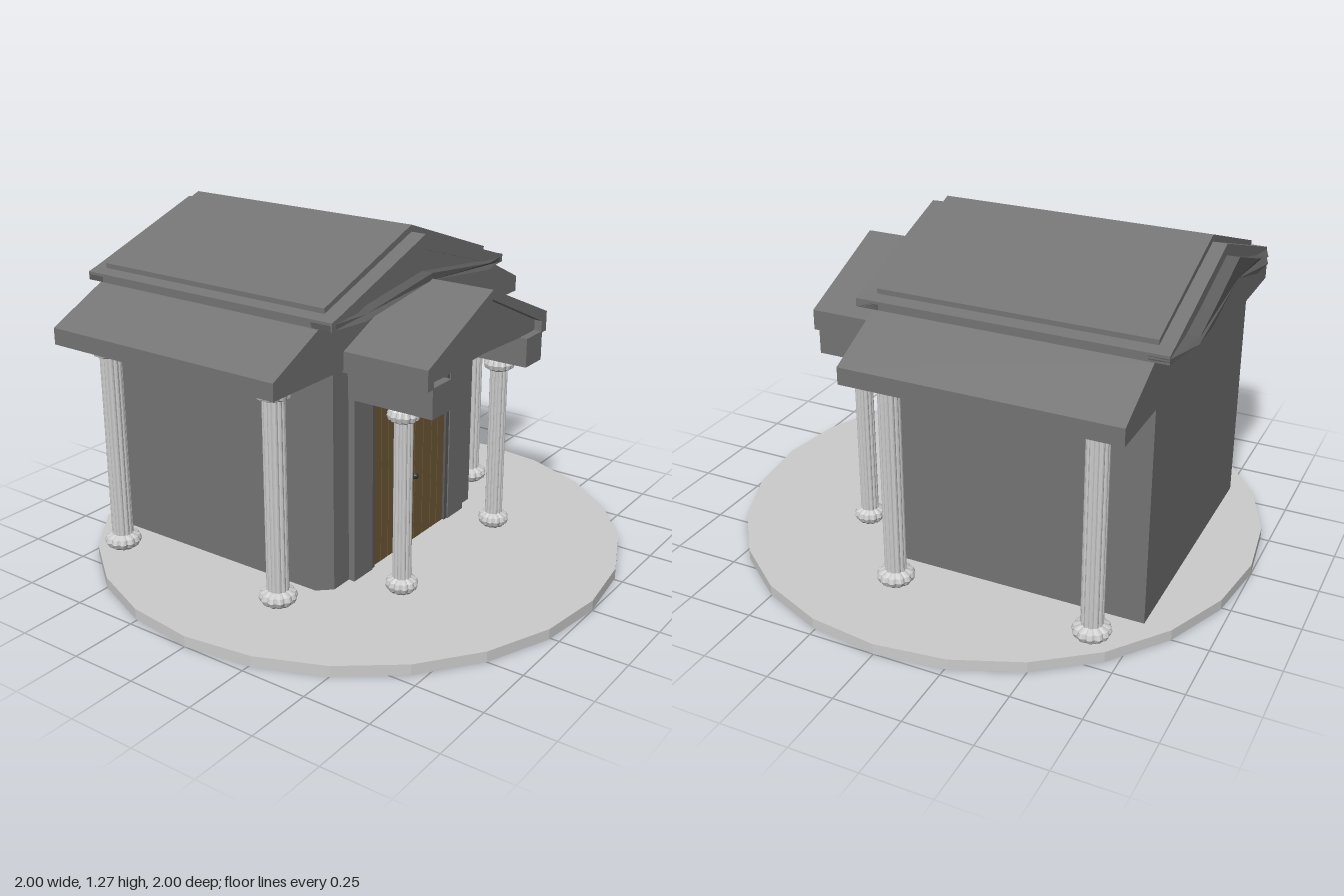
import * as THREE from 'three';

const mat = (color) => new THREE.MeshStandardMaterial({ color, flatShading: true });
const pale = mat(0xcccccc);
const stone = mat(0x747474);
const trim = mat(0x5c5c5c);
const wood = mat(0x705a38);
const dark = mat(0x333333);

export function createModel() {
  const model = new THREE.Group();

  function add(name, geometry, material, parent = model) {
    const mesh = new THREE.Mesh(geometry, material);
    mesh.name = name;
    parent.add(mesh);
    return mesh;
  }

  // Box given by its limits on each axis
  function box(name, [x0, x1], [y0, y1], [z0, z1], material, parent) {
    const g = new THREE.BoxGeometry(x1 - x0, y1 - y0, z1 - z0);
    g.translate((x0 + x1) / 2, (y0 + y1) / 2, (z0 + z1) / 2);
    return add(name, g, material, parent);
  }

  // Mirrored gable profile of [z, y] points, listed from the centre outwards, run along x
  function gable(name, upper, lower, x0, x1, material) {
    const half = [...upper, ...[...lower].reverse()];
    const other = half.filter(([z]) => z > 0).reverse().map(([z, y]) => [-z, y]);
    const shape = new THREE.Shape([...half, ...other].map(([z, y]) => new THREE.Vector2(z, y)));
    const g = new THREE.ExtrudeGeometry(shape, { depth: x1 - x0, bevelEnabled: false });
    g.rotateY(Math.PI / 2).translate(x0, 0, 0);
    return add(name, g, material);
  }

  // Pull the outer tips of a gable moulding inwards to clip its corners in plan
  function clipCorners(mesh, xFace, xTip) {
    const p = mesh.geometry.attributes.position;
    for (let i = 0; i < p.count; i++) {
      if (Math.abs(p.getZ(i)) > 0.5 && Math.abs(p.getX(i) - xFace) < 0.001) p.setX(i, xTip);
    }
    mesh.geometry.computeVertexNormals();
  }

  // Fluted column with swelling base and capital
  function column(name, x, z, top, r) {
    const y0 = 0.04, bulge = r * 1.75, h = 0.055;
    const end = [[1.2, 0], [1.55, 0.2], [1.75, 0.5], [1.6, 0.8], [1.0, 1]];
    const pts = [
      [0, y0],
      ...end.map(([k, t]) => [r * k, y0 + t * h]),
      ...[...end].reverse().map(([k, t]) => [Math.min(r * k, bulge), top - t * h]),
      [0, top],
    ].map(([a, b]) => new THREE.Vector2(a, b));
    const g = new THREE.LatheGeometry(pts, 48);
    const p = g.attributes.position;
    for (let i = 0; i < p.count; i++) {
      const a = Math.atan2(p.getX(i), p.getZ(i));
      const k = 0.88 + 0.12 * Math.abs(Math.sin(a * 6));
      p.setX(i, p.getX(i) * k);
      p.setZ(i, p.getZ(i) * k);
    }
    g.computeVertexNormals();
    add(name, g, pale).position.set(x, 0, z);
  }

  // Round ground slab
  add('baseDisc', new THREE.CylinderGeometry(1, 1, 0.04, 24).translate(0, 0.02, 0), pale);

  // Walls with clipped corners on the entrance side
  const plan = new THREE.Shape([
    [-0.77, -0.505], [0.17, -0.505], [0.22, -0.46], [0.22, 0.46], [0.17, 0.505], [-0.77, 0.505],
  ].map(([x, z]) => new THREE.Vector2(x, z)));
  const walls = new THREE.ExtrudeGeometry(plan, { depth: 0.82, bevelEnabled: false });
  add('walls', walls.rotateX(-Math.PI / 2).translate(0, 0.04, 0), stone);

  // Side roofs and the gable wall between them
  gable('sideRoofs', [[0, 1.22], [0.5, 1.045], [0.545, 1.025], [0.78, 0.912]],
    [[0, 0.85], [0.78, 0.85]], -0.77, 0.225, stone);

  // Stepped upper roof
  gable('upperRoofPlate', [[0, 1.27], [0.51, 1.09]], [[0, 1.23], [0.51, 1.065]], -0.77, 0.225, stone);
  gable('upperRoofSlab', [[0, 1.245], [0.5, 1.075], [0.55, 1.06]],
    [[0, 1.19], [0.5, 1.03], [0.55, 1.03]], -0.82, 0.285, stone);
  gable('frontGableWall', [[0, 1.22], [0.48, 1.06]], [[0, 1.06], [0.48, 1.03]], 0.2, 0.27, stone);

  // Gable mouldings at both ends
  const frontMoulding = gable('frontMoulding', [[0, 1.11], [0.4, 1.06], [0.55, 1.05]],
    [[0, 1.085], [0.4, 1.035], [0.55, 1.03]], 0.2, 0.315, trim);
  clipCorners(frontMoulding, 0.315, 0.28);
  const backMoulding = gable('backMoulding', [[0, 1.205], [0.26, 1.115], [0.4, 1.075], [0.55, 1.05]],
    [[0, 1.13], [0.26, 1.06], [0.4, 1.05], [0.55, 1.03]], -0.865, -0.75, trim);
  clipCorners(backMoulding, -0.865, -0.82);

  // Porch roof with a recessed pediment
  gable('porchRoof', [[0, 1.09], [0.405, 0.915], [0.405, 0.84]],
    [[0, 1.055], [0.37, 0.885], [0.37, 0.84]], 0.2, 0.56, stone);
  gable('pediment', [[0, 1.056], [0.372, 0.886]], [[0, 0.855], [0.372, 0.84]], 0.2, 0.53, stone);

  // Portal around the doors
  for (const s of [-1, 1]) {
    const side = (a, b) => (s > 0 ? [a, b] : [-b, -a]);
    box('portalPier', [0.2, 0.245], [0.04, 0.84], side(0.26, 0.372), stone);
    box('doorJamb', [0.2, 0.24], [0.04, 0.71], side(0.24, 0.262), trim);
    box('porchBeam', [0.2, 0.56], [0.735, 0.845], side(0.26, 0.375), stone);
    column('porchColumn', 0.415, s * 0.323, 0.737, 0.034);
    for (const x of [-0.635, 0.115]) column('sideColumn', x, s * 0.645, 0.852, 0.04);

    // Planked door leaf with a round knob
    const door = new THREE.Group();
    door.name = 'doorLeaf';
    model.add(door);
    box('doorPanel', [0.2, 0.226], [0.04, 0.71], side(0.001, 0.24), dark, door);
    const edges = [0.003, 0.03, 0.087, 0.145, 0.19, 0.236];
    for (let i = 0; i < edges.length - 1; i++) {
      box('doorPlank', [0.21, 0.234], [0.042, 0.695], side(edges[i] + 0.001, edges[i + 1] - 0.002), wood, door);
    }
    const knob = add('doorKnob', new THREE.SphereGeometry(0.012, 12, 8), dark, door);
    knob.position.set(0.245, 0.31, s * 0.02);
  }
  box('doorLintel', [0.2, 0.25], [0.705, 0.755], [-0.262, 0.262], trim);
  box('portalHead', [0.2, 0.24], [0.75, 0.85], [-0.262, 0.262], stone);

  return model;
}
